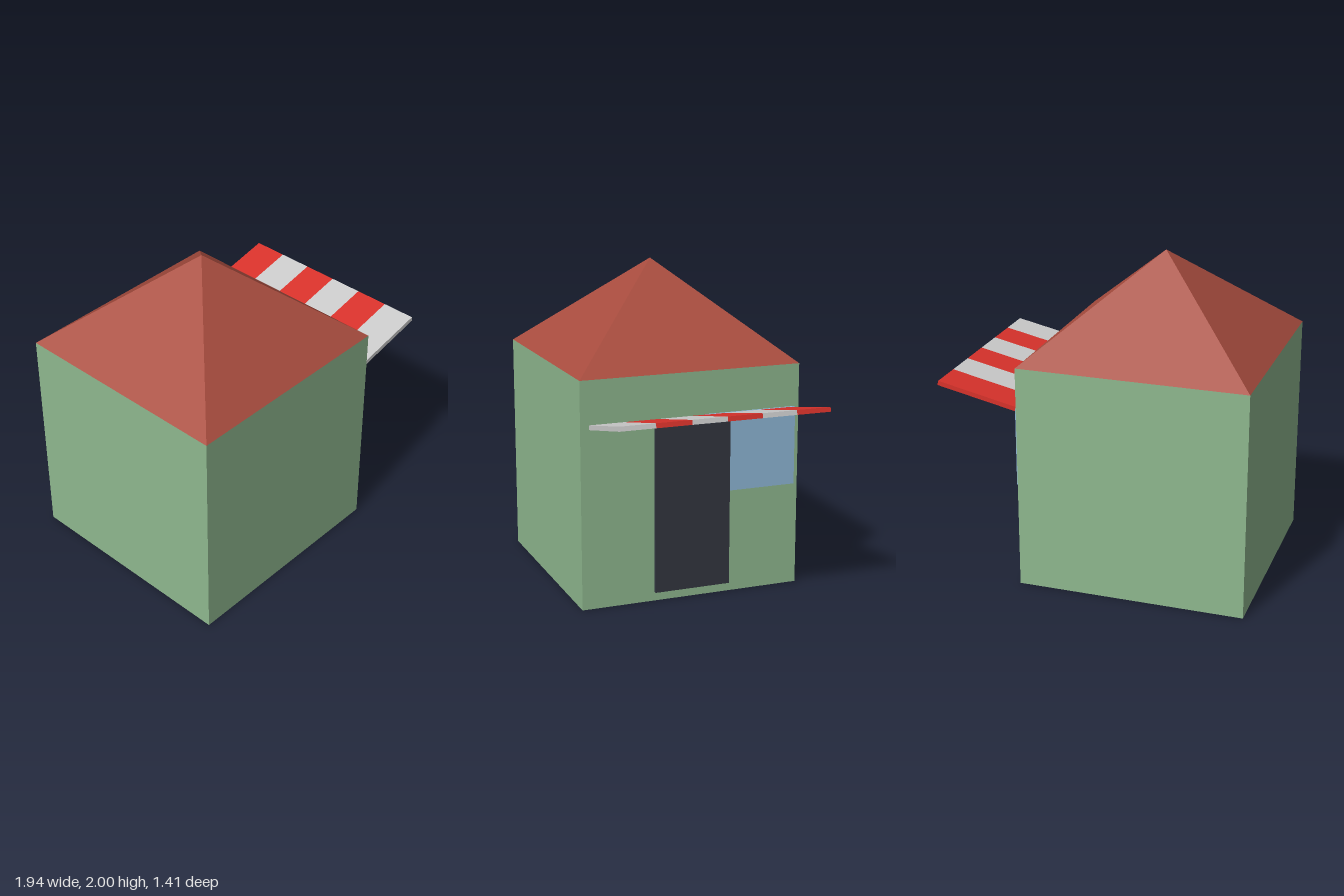
import * as THREE from 'three';

const paint = (color, extra = {}) => new THREE.MeshStandardMaterial({ color, ...extra });

export function createModel() {
  const model = new THREE.Group();
  const shell = { flatShading: true, side: THREE.DoubleSide };
  const HALF = 0.705, WALL_TOP = 1.405, ROOF_TOP = 2;
  const HOUSE_X = -0.267, WALL_X = HOUSE_X + HALF;

  function add(parent, name, geometry, material, x, y, z) {
    const mesh = new THREE.Mesh(geometry, material);
    mesh.name = name;
    mesh.position.set(x, y, z);
    parent.add(mesh);
    return mesh;
  }

  // Square walls, open underneath
  const radius = HALF * Math.SQRT2;
  const walls = new THREE.CylinderGeometry(radius, radius, WALL_TOP, 4, 1, true).rotateY(Math.PI / 4);
  add(model, 'walls', walls, paint(0x8fb88f, shell), HOUSE_X, WALL_TOP / 2, 0);

  // Pyramid roof, flush with the walls
  const roofHeight = ROOF_TOP - WALL_TOP;
  const roof = new THREE.ConeGeometry(radius, roofHeight, 4, 1, true).rotateY(Math.PI / 4);
  add(model, 'roof', roof, paint(0xa84c3e, shell), HOUSE_X, WALL_TOP + roofHeight / 2, 0);

  // Door and window panels on the +x wall; the window runs behind the door
  add(model, 'door', new THREE.BoxGeometry(0.03, 1.03, 0.485), paint(0x333640), WALL_X + 0.004, 0.57, 0);
  add(model, 'window', new THREE.BoxGeometry(0.028, 0.49, 0.595), paint(0x90b8d8), WALL_X + 0.003, 0.895, -0.3775);

  // Striped awning, rising away from the wall
  const awning = new THREE.Group();
  awning.name = 'awning';
  awning.position.set(0.7, 1.179, 0);
  awning.rotation.z = 0.213;
  const stripeWidth = 1.3 / 6;
  const stripe = new THREE.BoxGeometry(0.537, 0.028, stripeWidth);
  const red = paint(0xd9322b), grey = paint(0xcccccc);
  for (let i = 0; i < 6; i++) {
    add(awning, 'awningStripe', stripe, i % 2 ? grey : red, 0, 0, (i - 2.5) * stripeWidth);
  }
  model.add(awning);

  return model;
}
